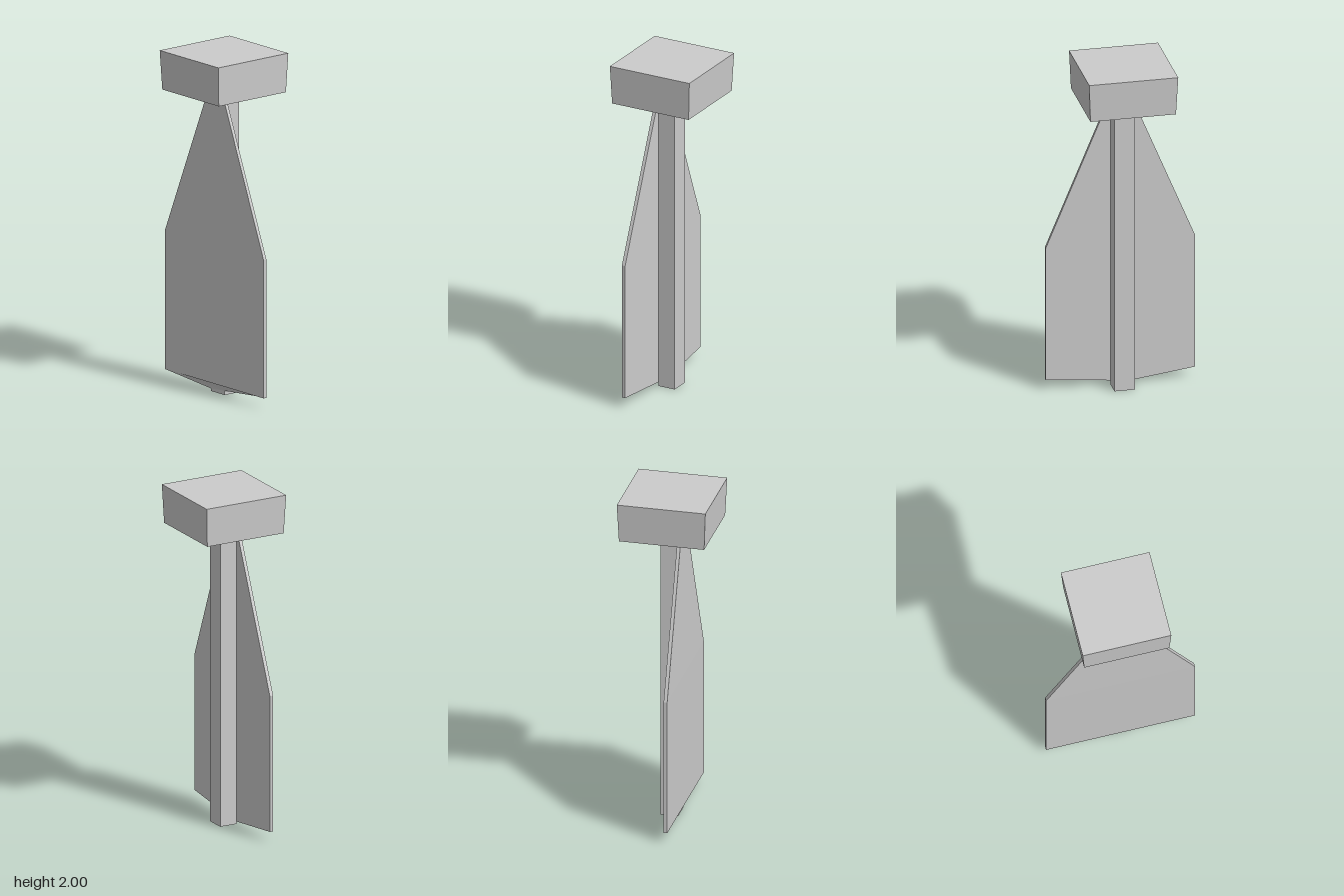
import * as THREE from 'three';

const material = new THREE.MeshStandardMaterial({ color: 0xcccccc, flatShading: true });

// Closed solid through rings of [x, y, z], listed bottom to top,
// each running counter-clockwise seen from above.
function loft(name, rings) {
  const n = rings[0].length;
  const points = [];
  const tri = (a, b, c) => points.push(...a, ...b, ...c);
  for (let r = 0; r < rings.length - 1; r++) {
    const low = rings[r], high = rings[r + 1];
    for (let i = 0; i < n; i++) {
      const j = (i + 1) % n;
      tri(low[i], low[j], high[j]);
      tri(low[i], high[j], high[i]);
    }
  }
  const bottom = rings[0], top = rings[rings.length - 1];
  for (let i = 1; i < n - 1; i++) {
    tri(bottom[0], bottom[i + 1], bottom[i]);
    tri(top[0], top[i], top[i + 1]);
  }
  const geometry = new THREE.BufferGeometry();
  geometry.setAttribute('position', new THREE.Float32BufferAttribute(points, 3));
  geometry.computeVertexNormals();
  const mesh = new THREE.Mesh(geometry, material);
  mesh.name = name;
  return mesh;
}

// Square ring of the head block
const square = (half, y, x = 0, z = 0) => [
  [x - half, y, z + half], [x + half, y, z + half],
  [x + half, y, z - half], [x - half, y, z - half],
];

// Blade ring: straight front edge, back bulging slightly towards the post
const bladeRing = (w, y, front, edge, yLeft, yRight, inner = 0.06) => [
  [-w, y, front], [w, y, front], [w, y, edge],
  [inner, yRight, 0.05], [-inner, yLeft, 0.05], [-w, y, edge],
];

export function createModel() {
  const group = new THREE.Group();

  // Square post running the full height behind the blade
  const post = new THREE.Mesh(new THREE.BoxGeometry(0.12, 1.76, 0.105), material);
  post.name = 'post';
  post.position.set(0, 0.885, -0.0025);
  post.scale.y = 1.77 / 1.76;
  group.add(post);

  // Thin blade with tapered shoulders
  group.add(loft('blade', [
    bladeRing(0.437, 0.06, 0.078, 0.057, 0.015, 0.025),
    bladeRing(0.437, 0.875, 0.078, 0.057, 0.875, 0.875),
    bladeRing(0.07, 1.76, 0.07, 0.05, 1.76, 1.76),
  ]));

  // Head block with a shallow sloping underside
  group.add(loft('head', [
    square(0.07, 1.753, 0, 0.005),
    square(0.25, 1.77, -0.005),
    square(0.26, 2, -0.006),
  ]));

  return group;
}
